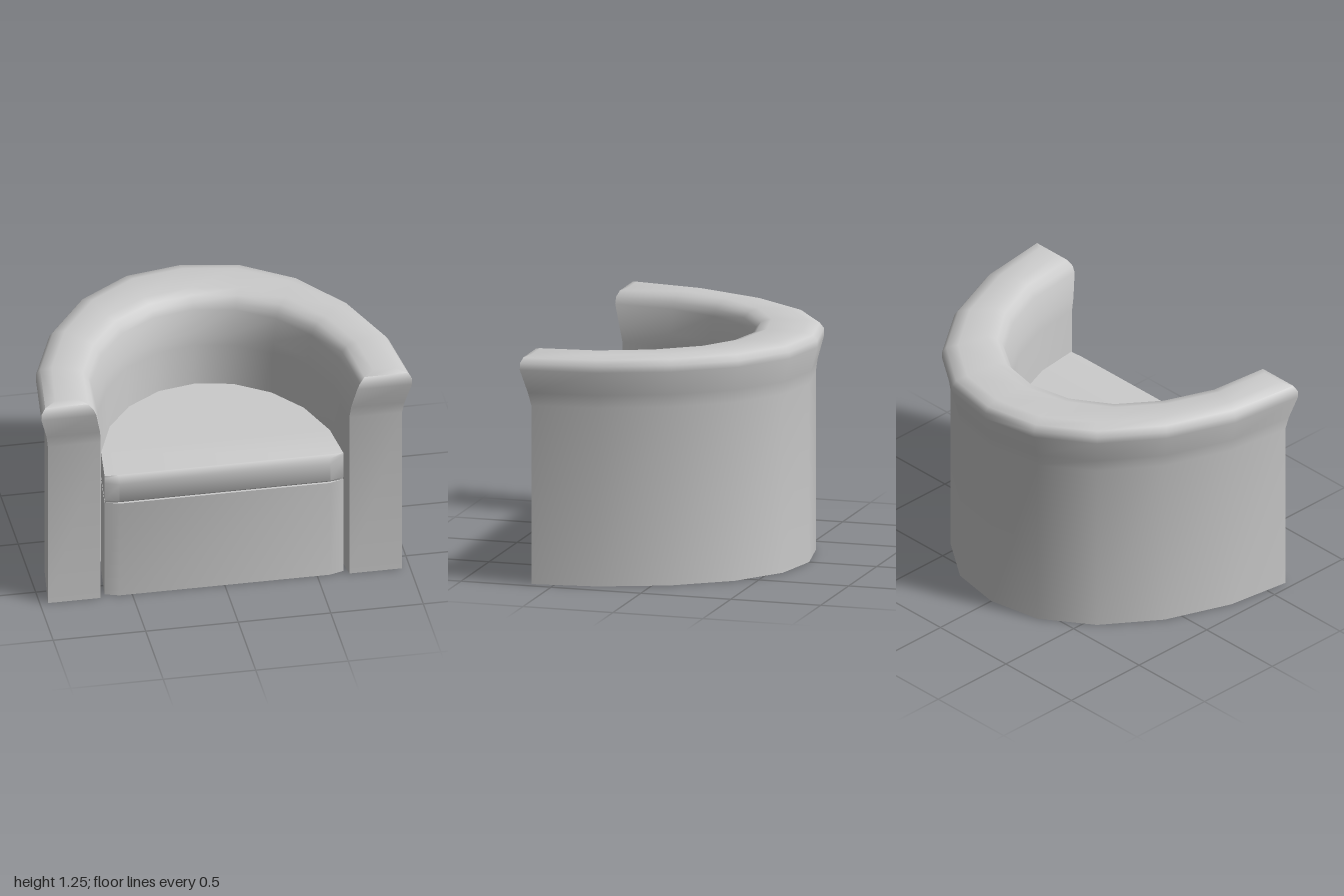
import * as THREE from 'three';
import { toCreasedNormals } from 'three/addons/utils/BufferGeometryUtils.js';

const material = new THREE.MeshStandardMaterial({ color: 0xcccccc });

// Right half of a plan outline (front to back, ending on x = 0) -> full arc to the left front
const mirrored = half => [...half, ...half.slice(0, -1).reverse().map(([x, z]) => [-x, z])];

// Moves an open arc sideways along its own normals, away from the middle
function offsetArc(arc, d) {
  return arc.map(([x, z], i) => {
    const a = arc[Math.max(i - 1, 0)], b = arc[Math.min(i + 1, arc.length - 1)];
    const tx = b[0] - a[0], tz = b[1] - a[1], len = Math.hypot(tx, tz);
    return [x - (tz / len) * d, z + (tx / len) * d];
  });
}

// Joins stacked rings of [x, y, z]; each ring is two equal halves, so the caps are strips
function loft(name, rings) {
  const n = rings[0].length, last = (rings.length - 1) * n, index = [];
  const quad = (a, b, c, d) => index.push(a, b, c, a, c, d);
  for (let r = 0; r < rings.length - 1; r++) {
    for (let i = 0; i < n; i++) {
      const j = (i + 1) % n, lo = r * n, hi = lo + n;
      quad(lo + i, lo + j, hi + j, hi + i);
    }
  }
  for (let k = 0; k < n / 2 - 1; k++) {
    quad(last + k, last + k + 1, last + n - 2 - k, last + n - 1 - k);
    quad(n - 1 - k, n - 2 - k, k + 1, k);
  }
  const geometry = new THREE.BufferGeometry();
  geometry.setAttribute('position', new THREE.Float32BufferAttribute(rings.flat(2), 3));
  geometry.setIndex(index);
  const mesh = new THREE.Mesh(toCreasedNormals(geometry, 0.9), material);
  mesh.name = name;
  return mesh;
}

// Curved back and arms in one shell, flaring outwards into a soft rim
function createShell() {
  const outer = mirrored([[0.957, 0.62], [0.91, 0.27], [0.772, -0.09], [0.56, -0.385], [0.295, -0.57], [0, -0.625]]);
  const inner = mirrored([[0.672, 0.62], [0.64, 0.35], [0.54, 0.1], [0.395, -0.095], [0.21, -0.215], [0, -0.257]]);
  // height, outer offset, inner offset, front z
  const levels = [
    [0, 0, 0, 0.622],
    [0.97, 0, 0, 0.622],
    [1.04, 0.01, 0.006, 0.638],
    [1.17, 0.045, 0.033, 0.673],
    [1.205, 0.044, 0.048, 0.673],
    [1.235, 0.022, 0.075, 0.66],
    [1.25, -0.04, 0.13, 0.62],
  ];
  const rings = levels.map(([y, dOut, dIn, front]) => {
    const side = (arc, d) => offsetArc(arc, d).map(([x, z], i, all) =>
      [x, y, i === 0 || i === all.length - 1 ? front : z]);
    return [...side(outer, dOut), ...side(inner, dIn).reverse()];
  });
  return loft('backAndArms', rings);
}

// D-shaped seat block; each level is [height, front z, inset of the sides]
function createSeatBlock(name, levels) {
  const half = [[0.57, 0.62], [0.645, 0.59], [0.618, 0.35], [0.525, 0.1], [0.385, -0.085], [0.2, -0.21], [0, -0.25]];
  const rings = levels.map(([y, front, inset]) => {
    const right = half.map(([x, z], i) => {
      const s = 1 - inset / 0.645;
      return [x * s, y, i === 0 ? front : Math.min(z, front - 0.005)];
    });
    return [...right, ...right.map(([x, , z]) => [-x, y, z]).reverse()];
  });
  return loft(name, rings);
}

export function createModel() {
  const group = new THREE.Group();
  group.name = 'tubArmchair';
  group.add(
    createShell(),
    createSeatBlock('seatBase', [[0, 0.615, 0], [0.57, 0.615, 0]]),
    createSeatBlock('seatCushion', [
      [0.57, 0.6, 0.003],
      [0.585, 0.618, 0],
      [0.69, 0.62, 0],
      [0.72, 0.612, 0],
      [0.735, 0.596, 0],
    ]),
  );
  return group;
}
